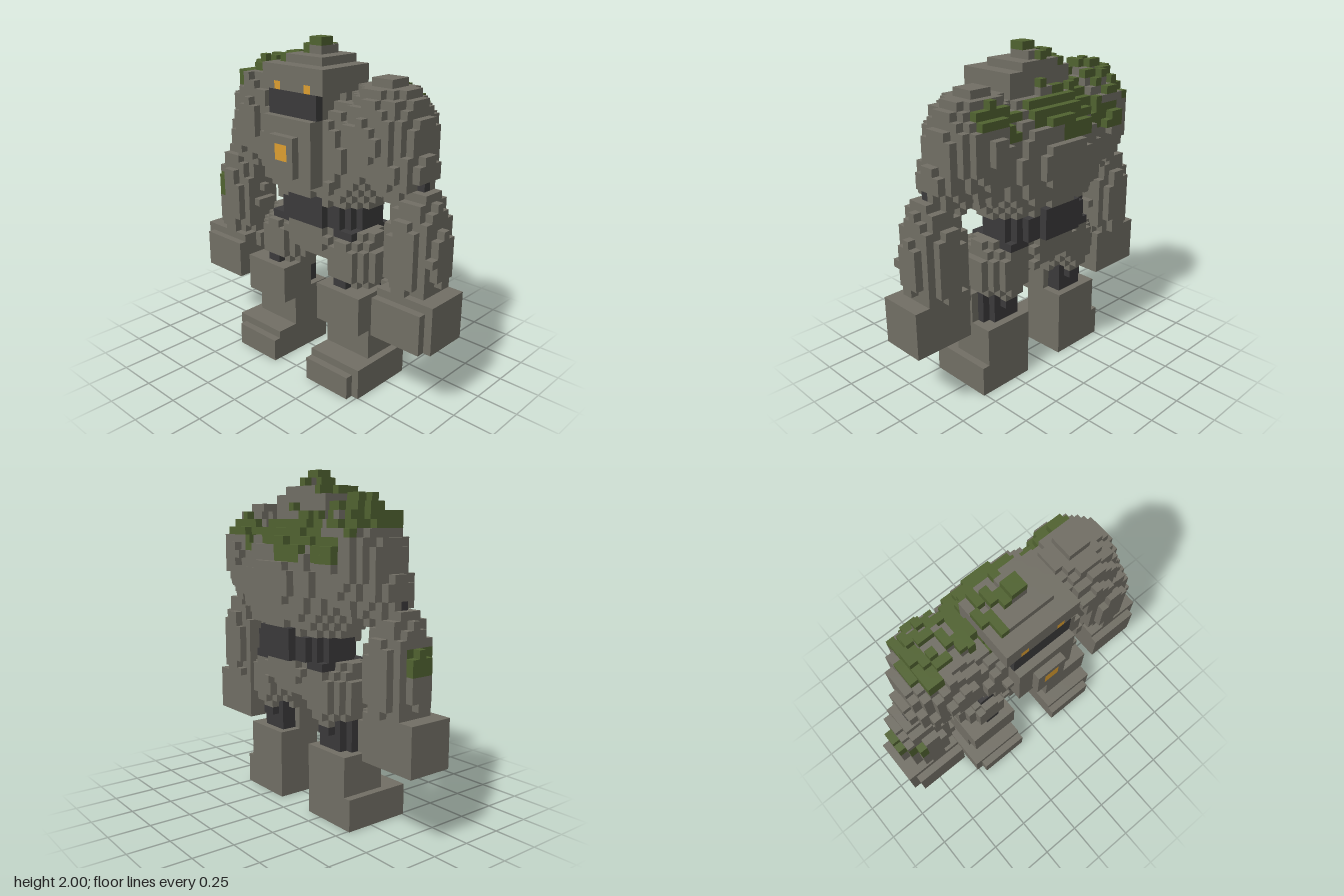
import * as THREE from 'three';

const U = 2 / 43; // edge of one cube; the figure is 43 cubes tall

const mat = (name, color) => Object.assign(new THREE.MeshStandardMaterial({ color }), { name });

export function createModel() {
  const materials = {
    stone: mat('stone', 0x726f65),
    dark: mat('darkStone', 0x3b3a3b),
    moss: mat('moss', 0x516331),
    glow: mat('amberGlow', 0xdd9f30),
  };

  // ---- cube grid helpers ----
  const cells = new Map();
  const key = (x, y, z) => `${x},${y},${z}`;
  const set = (x, y, z, part, color = 'stone') => cells.set(key(x, y, z), { x, y, z, part, color });
  const has = (x, y, z) => cells.has(key(x, y, z));
  const hash = (x, y, z) => {
    const s = Math.sin(x * 12.9898 + y * 78.233 + z * 37.719) * 43758.5453;
    return s - Math.floor(s);
  };
  // x and y are edges, z is the range of cube centres (inclusive)
  const box = (part, [x0, x1], [y0, y1], [z0, z1], color) => {
    for (let x = x0; x < x1; x++)
      for (let y = y0; y < y1; y++)
        for (let z = z0; z <= z1; z++) set(x, y, z, part, color);
  };
  // ellipsoid, clipped to rows y0..y1
  const blob = (part, c, r, { color, y0 = 0, y1 = 43 } = {}) => {
    for (let x = -20; x < 20; x++)
      for (let y = y0; y < y1; y++)
        for (let z = -7; z <= 7; z++) {
          const d = [x + 0.5 - c[0], y + 0.5 - c[1], z - c[2]];
          if (d.reduce((s, v, i) => s + (v / r[i]) ** 2, 0) <= 1) set(x, y, z, part, color);
        }
  };
  const mirrorRange = (s, [a, b]) => (s > 0 ? [a, b] : [-b, -a]);

  // ---- torso, pelvis and limbs ----
  blob('torso', [0, 29.5, -1], [11, 8.5, 6.4]);
  blob('pelvis', [0, 18.5, -1], [7.3, 3.6, 4.6], { y1: 20 });

  for (const s of [1, -1]) {
    const side = s > 0 ? 'left' : 'right';
    const m = (r) => mirrorRange(s, r);
    blob(side + 'Shoulder', [s * 9.7, 32.3, -0.9], [5.5, 6.55, 5.25]);
    blob(side + 'UpperArm', [s * 12.5, 29, -0.3], [3.5, 4, 3.6]);
    blob(side + 'Forearm', [s * 15.2, 19.5, 0], [3.7, 8, 3.7]);
    box(side + 'Elbow', m([15, 16]), [27, 28], [0, 0], 'dark');
    box(side + 'Fist', m([12, 20]), [9, 15], [-2, 3]);
    box(side + 'Fist', m([11, 12]), [13, 15], [-1, 1]);
    box(side + 'Knuckles', m([12, 19]), [9, 14], [4, 4]);

    blob(side + 'Thigh', [s * 6, 16, -0.5], [4.1, 4.7, 4.2]);
    blob(side + 'LegJoint', [s * 6.2, 11, -0.2], [2.8, 30, 2.7], { color: 'dark', y0: 9, y1: 13 });
    box(side + 'LegJoint', m([5, 7]), [12, 14], [0, 3], 'dark');
    box(side + 'LegJoint', m([5, 7]), [11, 12], [-3, -3], 'dark');
    box(side + 'Shin', m([3, 10]), [4, 9], [-3, 2]);
    box(side + 'KneeGuard', m([3, 10]), [8, 13], [0, 4]);
    box(side + 'Foot', m([3, 11]), [0, 4], [-3, 5]);
    box(side + 'Toes', m([3, 10]), [0, 3], [6, 6]);
  }

  // ---- belt around the waist ----
  blob('belt', [0, 21.5, -1.5], [7.1, 40, 5.1], { color: 'dark', y0: 20, y1: 23 });
  for (const s of [1, -1]) box('belt', mirrorRange(s, [4, 7]), [19, 20], [-4, 2], 'dark');
  box('belt', [-3, 3], [22, 24], [-6, 3], 'dark');

  // ---- stray chips of rock on the rounded parts ----
  const rough = /torso|pelvis|Shoulder|Arm|Forearm|Thigh/;
  const sides = [[1, 0, 0], [-1, 0, 0], [0, 0, 1], [0, 0, -1], [0, -1, 0]];
  for (const c of [...cells.values()]) {
    if (!rough.test(c.part) || hash(c.x, c.y, c.z) > 0.04) continue;
    const [dx, dy, dz] = sides[Math.floor(hash(c.z, c.x, c.y) * 5)];
    const p = [c.x + dx, c.y + dy, c.z + dz];
    if (Math.abs(p[2]) < 7 && Math.abs(p[0] + 0.5) < 18.6 && !has(...p)) set(...p, c.part);
  }

  // ---- chest plate with glowing core ----
  box('chestPlate', [-4, 4], [26, 34], [4, 6]);
  box('corePlate', [-2, 2], [27, 32], [7, 7]);
  box('core', [-1, 1], [29, 31], [7, 7], 'glow');

  // ---- head ----
  box('head', [-4, 4], [34, 37], [-2, 4]);
  box('head', [-5, 5], [37, 40], [-2, 5]);
  box('jaw', [-4, 4], [34, 37], [5, 5], 'dark');
  box('leftEye', [2, 3], [37, 38], [5, 5], 'glow');
  box('rightEye', [-3, -2], [37, 38], [5, 5], 'glow');
  box('crown', [-3, 3], [40, 41], [-2, 3]);
  box('crown', [-1, 1], [41, 42], [-1, 1]);

  // ---- moss: painted patches ----
  const patches = [
    [[-19, -16], [20, 23], [-1, 4]], // right forearm
    [[-14, -11], [36, 39], [-6, 2]], // right shoulder
    [[-7, -4], [36, 38], [-6, 3]], // beside the neck
    [[-5, -4], [35, 36], [-6, 3]],
    [[-11, -6], [32, 35], [-6, -4]], // right shoulder blade
    [[-7, 4], [34, 38], [-6, -4]], // upper back
    [[-5, 0], [32, 34], [-6, -4]], // trailing down the back
    [[5, 12], [35, 38], [-6, -4]], // left shoulder blade
    [[6, 8], [33, 35], [-6, -5]],
  ];
  const inside = (v, [a, b]) => v >= a && v < b;
  for (const c of cells.values())
    if (rough.test(c.part) && patches.some(([x, y, z]) =>
      inside(c.x, x) && inside(c.y, y) && inside(c.z, [z[0], z[1] + 1]))) c.color = 'moss';

  // ---- moss: raised diagonal tufts ----
  for (let x = -13; x < 1; x++)
    for (let z = x < -7 ? -5 : -3; z <= (x < -10 ? 2 : 1); z++) {
      let y = 42;
      while (y > 0 && !has(x, y, z)) y--;
      const stripe = (x - z + 30) % 3 < 2;
      if (y >= 34 && y <= 40 && stripe && hash(x, 1, z) < 0.95) set(x, y + 1, z, 'mossTufts', 'moss');
    }
  box('mossTufts', [-4, -3], [40, 41], [1, 3], 'moss');
  box('mossTufts', [-1, 1], [42, 43], [0, 1], 'moss');

  // ---- visible cube faces, gathered into one mesh per part and colour ----
  const batches = new Map();
  for (const c of cells.values()) {
    const id = c.part + '|' + c.color;
    if (!batches.has(id)) batches.set(id, { ...c, pos: [], nor: [] });
    const b = batches.get(id);
    for (let d = 0; d < 3; d++)
      for (const s of [1, -1]) {
        const n = [0, 0, 0];
        n[d] = s;
        if (has(c.x + n[0], c.y + n[1], c.z + n[2])) continue;
        const corners = [[0, 0], [1, 0], [1, 1], [0, 1]].map(([u, v]) => {
          const p = [c.x, c.y, c.z - 0.5];
          p[d] += s > 0 ? 1 : 0;
          p[(d + 1) % 3] += u;
          p[(d + 2) % 3] += v;
          return p.map((t) => t * U);
        });
        const order = s > 0 ? [0, 1, 2, 0, 2, 3] : [0, 2, 1, 0, 3, 2];
        for (const i of order) {
          b.pos.push(...corners[i]);
          b.nor.push(...n);
        }
      }
  }

  const group = new THREE.Group();
  group.name = 'stoneGolem';
  for (const b of batches.values()) {
    if (!b.pos.length) continue;
    const g = new THREE.BufferGeometry();
    g.setAttribute('position', new THREE.Float32BufferAttribute(b.pos, 3));
    g.setAttribute('normal', new THREE.Float32BufferAttribute(b.nor, 3));
    const mesh = new THREE.Mesh(g, materials[b.color]);
    mesh.name = b.color === 'moss' && b.part !== 'mossTufts' ? b.part + 'Moss' : b.part;
    group.add(mesh);
  }
  return group;
}
